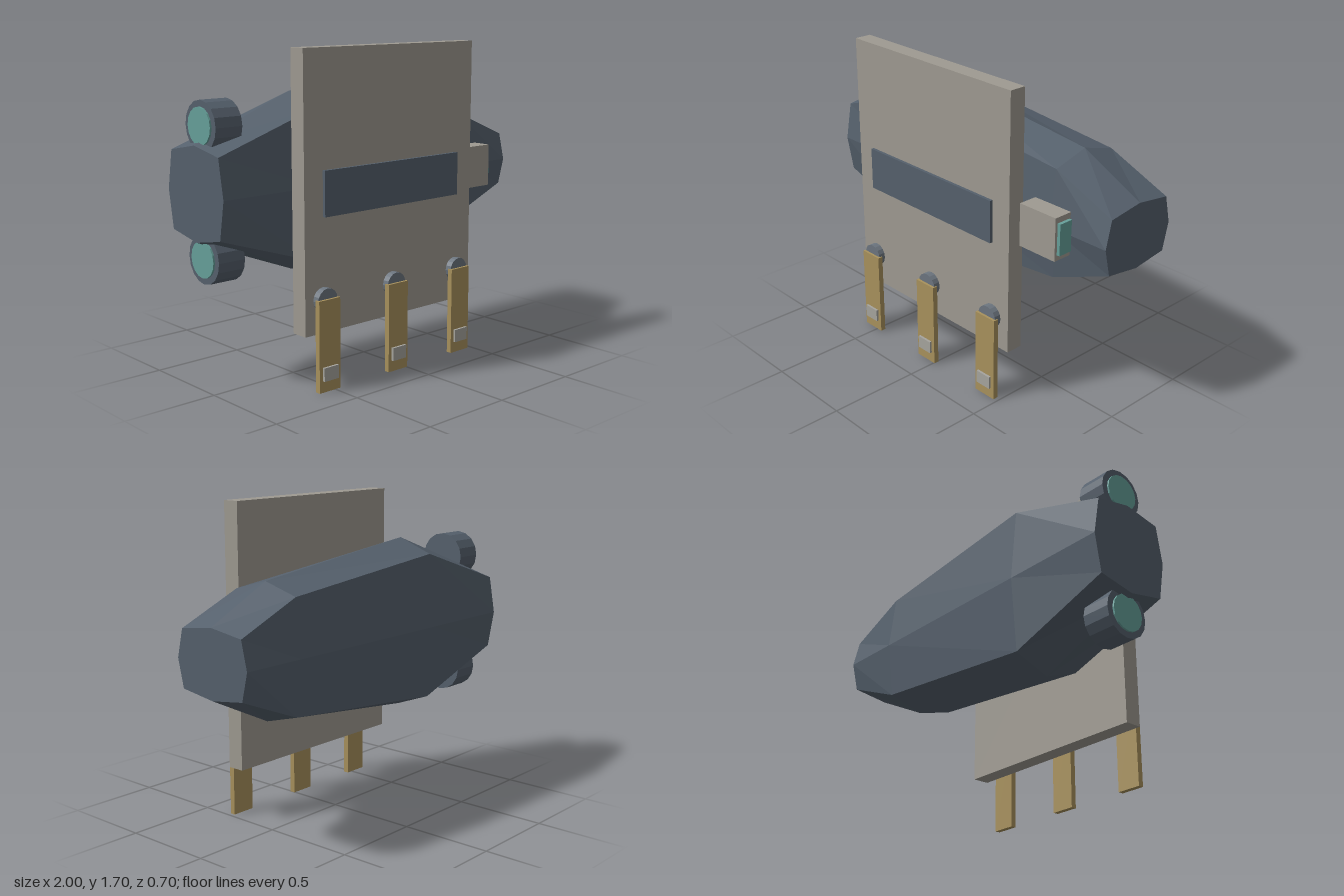
import * as THREE from 'three';

const mat = (color) => new THREE.MeshStandardMaterial({ color, flatShading: true });
const HULL = mat(0x55606c), PANEL = mat(0x9e9a91), GOLD = mat(0xa8915c);
const TEAL = mat(0x66a09a), PAD = mat(0xa6a49d), STEEL = mat(0x6c757f);

function add(parent, name, geometry, material, x = 0, y = 0, z = 0) {
  const mesh = new THREE.Mesh(geometry, material);
  mesh.name = name;
  mesh.position.set(x, y, z);
  parent.add(mesh);
  return mesh;
}

// Box given by its min and max on each axis
function box(parent, name, material, [x0, x1], [y0, y1], [z0, z1]) {
  return add(parent, name, new THREE.BoxGeometry(x1 - x0, y1 - y0, z1 - z0), material,
    (x0 + x1) / 2, (y0 + y1) / 2, (z0 + z1) / 2);
}

// Eight-sided hull: one section whose height changes along x
function hullGeometry() {
  const section = [[0.47, 0], [0.395, 0.2], [0, 0.235], [-0.395, 0.2],
    [-0.47, 0], [-0.395, -0.2], [0, -0.235], [0.395, -0.2]];
  const stations = [[-1, 0.51], [-0.41, 1], [0.64, 0.745], [1, 0.372]];
  const n = section.length, last = (stations.length - 1) * n;
  const positions = [], index = [];
  for (const [x, s] of stations) {
    for (const [y, z] of section) positions.push(x, y * s, z);
  }
  for (let i = 0; i < last; i += n) {
    for (let j = 0; j < n; j++) {
      const a = i + j, b = i + (j + 1) % n;
      index.push(a, b, b + n, a, b + n, a + n);
    }
  }
  for (let k = 1; k < n - 1; k++) {
    index.push(last, last + k, last + k + 1, 0, k + 1, k);
  }
  const geometry = new THREE.BufferGeometry();
  geometry.setAttribute('position', new THREE.Float32BufferAttribute(positions, 3));
  geometry.setIndex(index);
  const flat = geometry.toNonIndexed();
  flat.computeVertexNormals();
  return flat;
}

export function createModel() {
  const model = new THREE.Group();
  model.name = 'hoverCraft';
  const midY = 0.992, midZ = -0.115;

  add(model, 'hull', hullGeometry(), HULL, 0, midY, midZ);

  // Thrusters above and below the tail, with glowing discs
  for (const side of [1, -1]) {
    const thruster = new THREE.Group();
    thruster.name = side > 0 ? 'upperThruster' : 'lowerThruster';
    thruster.position.set(-0.882, midY + side * 0.33, midZ);
    thruster.rotation.z = Math.PI / 2;
    add(thruster, 'thrusterBody', new THREE.CylinderGeometry(0.128, 0.128, 0.156, 16), HULL);
    add(thruster, 'thrusterGlow', new THREE.CylinderGeometry(0.095, 0.095, 0.02, 16), TEAL, 0, 0.078, 0);
    model.add(thruster);
  }

  // Front plate with its inset band
  box(model, 'plate', PANEL, [-0.647, 0.525], [0.288, 1.7], [0.193, 0.286]);
  box(model, 'plateBand', HULL, [-0.53, 0.408], [0.877, 1.108], [0.28, 0.303]);

  // Sensor between plate and hull
  box(model, 'sensorHousing', PANEL, [0.525, 0.763], [0.877, 1.108], [0.105, 0.213]);
  box(model, 'sensorLens', TEAL, [0.755, 0.781], [0.908, 1.077], [0.118, 0.198]);

  // Three hanging legs, each with a round hinge and a foot pad
  for (const x of [-0.533, -0.063, 0.408]) {
    const leg = new THREE.Group();
    leg.name = 'leg';
    leg.position.x = x;
    const hinge = add(leg, 'hinge', new THREE.CylinderGeometry(0.063, 0.063, 0.04, 16), STEEL, 0, 0.462, 0.303);
    hinge.rotation.x = Math.PI / 2;
    box(leg, 'legBlade', GOLD, [-0.068, 0.068], [0, 0.472], [0.308, 0.337]);
    box(leg, 'footPad', PAD, [-0.047, 0.047], [0.06, 0.13], [0.33, 0.35]);
    model.add(leg);
  }
  return model;
}
